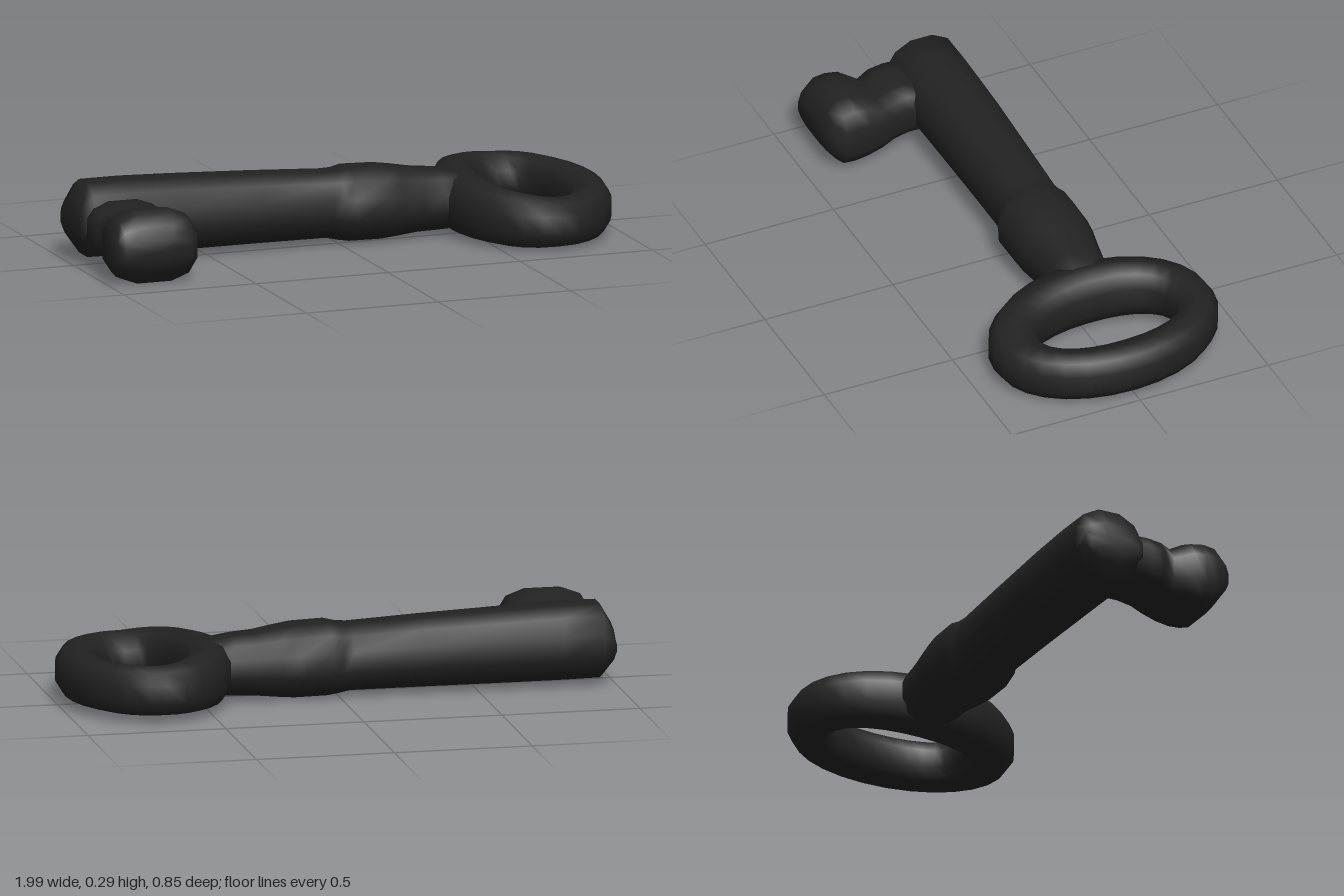
import * as THREE from 'three';

const iron = new THREE.MeshStandardMaterial({ color: 0x222222 });
iron.name = 'black iron';

// Signed power: exponents below 1 make ellipses boxier
const sp = (v, e) => Math.sign(v) * Math.abs(v) ** e;

// Skin a list of equal-length point rings; either joined end to end or capped
function loft(rings, joined) {
  const n = rings[0].length, m = rings.length, index = [];
  const points = rings.flat();
  for (let i = 0; i < (joined ? m : m - 1); i++) {
    for (let j = 0; j < n; j++) {
      const a = i * n + j, b = i * n + (j + 1) % n;
      const c = ((i + 1) % m) * n + j, d = ((i + 1) % m) * n + (j + 1) % n;
      index.push(a, b, d, a, d, c);
    }
  }
  if (!joined) {
    [0, m - 1].forEach((r) => {
      const centre = new THREE.Vector3();
      rings[r].forEach((p) => centre.addScaledVector(p, 1 / n));
      const k = points.push(centre) - 1;
      for (let j = 0; j < n; j++) {
        const a = r * n + j, b = r * n + (j + 1) % n;
        if (r === 0) index.push(k, b, a);
        else index.push(k, a, b);
      }
    });
  }
  // Make sure the faces point outward
  let volume = 0;
  const cross = new THREE.Vector3();
  for (let i = 0; i < index.length; i += 3) {
    cross.crossVectors(points[index[i + 1]], points[index[i + 2]]);
    volume += points[index[i]].dot(cross);
  }
  if (volume < 0) index.reverse();
  const g = new THREE.BufferGeometry().setFromPoints(points);
  g.setIndex(index);
  g.computeVertexNormals();
  return g;
}

// One cross-section: place(cos, sin) turns the unit outline into a point
function section(sides, power, place) {
  return Array.from({ length: sides }, (_, j) => {
    const a = (j + 0.5) / sides * Math.PI * 2;
    return place(sp(Math.cos(a), power), sp(Math.sin(a), power));
  });
}

export function createModel() {
  const key = new THREE.Group();
  key.name = 'key';
  const add = (name, geometry) => {
    const mesh = new THREE.Mesh(geometry, iron);
    mesh.name = name;
    key.add(mesh);
  };

  // Shaft with collar: x, bottom, top, back z, front z
  const shaft = [
    [-0.995, 0.11, 0.18, -0.15, 0.05], [-0.985, 0.08, 0.23, -0.17, 0.07],
    [-0.945, 0.025, 0.3, -0.19, 0.09], [-0.8, 0.023, 0.3, -0.192, 0.09],
    [-0.6, 0.023, 0.293, -0.19, 0.086], [-0.3, 0.023, 0.28, -0.18, 0.08],
    [-0.04, 0.022, 0.266, -0.172, 0.077], [0.0, 0.013, 0.268, -0.178, 0.092],
    [0.04, 0.007, 0.277, -0.19, 0.11], [0.16, 0.005, 0.273, -0.19, 0.108],
    [0.22, 0.01, 0.264, -0.183, 0.1], [0.3, 0.018, 0.25, -0.167, 0.085],
    [0.38, 0.02, 0.243, -0.152, 0.08], [0.45, 0.025, 0.23, -0.15, 0.09],
    [0.53, 0.06, 0.19, -0.13, 0.09],
  ];
  add('shaft', loft(shaft.map(([x, y0, y1, z0, z1]) => section(12, 0.9, (c, s) =>
    new THREE.Vector3(x, (y0 + y1) / 2 + s * (y1 - y0) / 2, (z0 + z1) / 2 + c * (z1 - z0) / 2)))));

  // Oval bow: the tube fills the gap between an outer and an inner outline
  const bow = [];
  for (let i = 0; i < 28; i++) {
    const t = i / 28 * Math.PI * 2, c = Math.cos(t), s = Math.sin(t);
    const outX = 0.69 + 0.31 * c, outZ = 0.43 * s;
    const inX = 0.703 + 0.136 * sp(c, 0.75), inZ = -0.01 + 0.25 * sp(s, 0.9);
    const left = Math.max(0, -c);
    const y = 0.108 + 0.012 * left - 0.011 * s;
    const h = 0.09 + 0.018 * left;
    bow.push(section(10, 0.85, (u, v) => new THREE.Vector3(
      (outX + inX) / 2 + u * (outX - inX) / 2, y + v * h,
      (outZ + inZ) / 2 + u * (outZ - inZ) / 2)));
  }
  add('bow', loft(bow, true));

  // Bit with a notched neck: z, left edge x, right edge x, bottom, top
  const bit = [
    [0.0, -0.97, -0.7, 0.05, 0.25], [0.1, -0.985, -0.7, 0.05, 0.243],
    [0.16, -0.978, -0.69, 0.045, 0.24], [0.215, -0.945, -0.672, 0.035, 0.238],
    [0.27, -0.998, -0.667, 0.012, 0.26], [0.32, -1.0, -0.667, 0.002, 0.27],
    [0.365, -1.0, -0.667, 0.006, 0.262], [0.4, -0.99, -0.68, 0.05, 0.22],
    [0.423, -0.965, -0.71, 0.085, 0.175],
  ];
  add('bit', loft(bit.map(([z, x0, x1, y0, y1]) => section(12, 0.7, (c, s) =>
    new THREE.Vector3((x0 + x1) / 2 + c * (x1 - x0) / 2, (y0 + y1) / 2 + s * (y1 - y0) / 2, z)))));

  return key;
}
